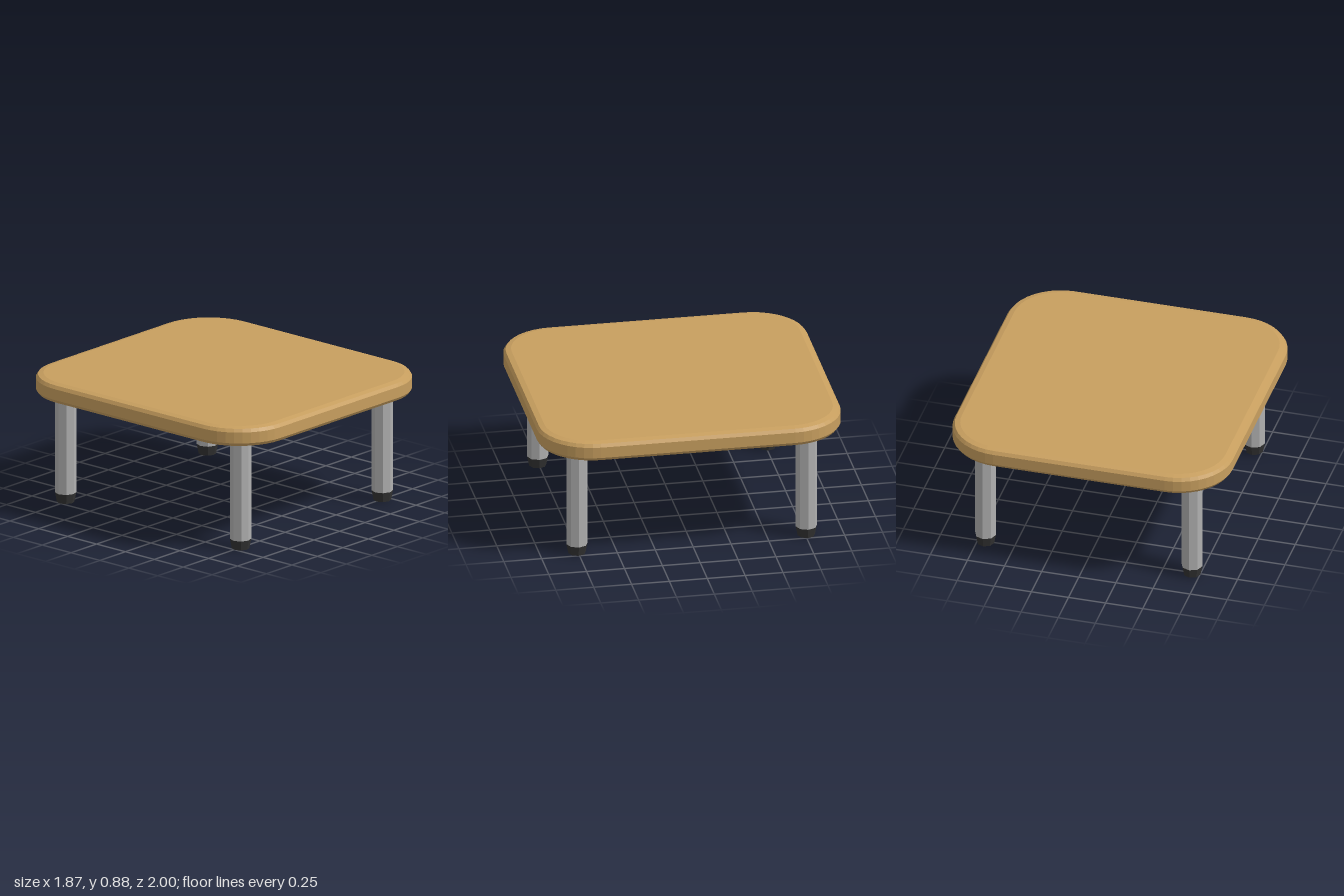
import * as THREE from 'three';

const wood = new THREE.MeshStandardMaterial({ color: 0xc89f5f, flatShading: true });
const metal = new THREE.MeshStandardMaterial({ color: 0xb0b0b0, flatShading: true });
const rubber = new THREE.MeshStandardMaterial({ color: 0x333333, flatShading: true });

// Rectangle with rounded corners, centred on the origin
function roundedRect(hx, hy, r) {
  const s = new THREE.Shape();
  s.absarc(hx - r, hy - r, r, 0, Math.PI / 2);
  s.absarc(r - hx, hy - r, r, Math.PI / 2, Math.PI);
  s.absarc(r - hx, r - hy, r, Math.PI, Math.PI * 1.5);
  s.absarc(hx - r, r - hy, r, Math.PI * 1.5, Math.PI * 2);
  s.closePath();
  return s;
}

function addMesh(parent, name, geometry, material, y = 0) {
  const mesh = new THREE.Mesh(geometry, material);
  mesh.name = name;
  mesh.position.y = y;
  parent.add(mesh);
}

export function createModel() {
  const table = new THREE.Group();
  table.name = 'table';

  // Top: rounded slab with softened upper and lower rims
  const bottom = 0.742, top = 0.876, bevel = 0.03, inset = 0.05;
  const slab = new THREE.ExtrudeGeometry(roundedRect(0.937 - inset, 1 - inset, 0.36 - inset), {
    depth: top - bottom - 2 * bevel,
    curveSegments: 5,
    bevelThickness: bevel,
    bevelSize: inset,
    bevelSegments: 2,
  });
  slab.rotateX(-Math.PI / 2);
  addMesh(table, 'tableTop', slab, wood, bottom + bevel);

  // Legs: octagonal posts on tapered feet
  const footH = 0.065, legR = 0.07, legH = bottom + 0.004 - footH;
  const post = new THREE.CylinderGeometry(legR, legR, legH, 8);
  const foot = new THREE.CylinderGeometry(legR, 0.057, footH, 8);
  for (const [x, side] of [[1, 'Left'], [-1, 'Right']]) {
    for (const [z, end] of [[1, 'front'], [-1, 'back']]) {
      const leg = new THREE.Group();
      leg.name = `${end}${side}Leg`;
      leg.position.set(x * 0.695, 0, z * 0.757);
      addMesh(leg, 'post', post, metal, footH + legH / 2);
      addMesh(leg, 'foot', foot, rubber, footH / 2);
      table.add(leg);
    }
  }
  return table;
}
